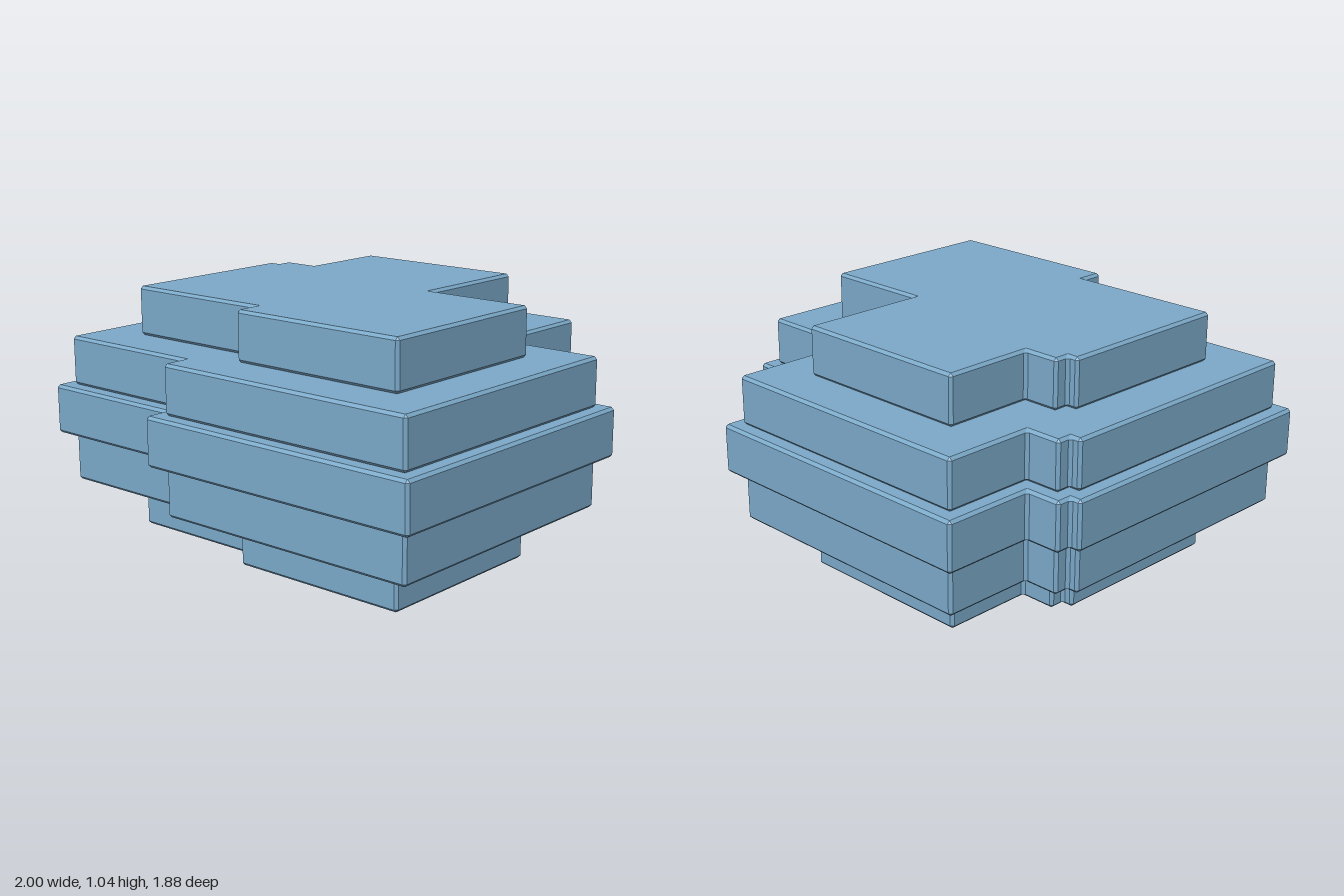
import * as THREE from 'three';

const BEVEL = 0.012;

// Widest tier's outline, counter-clockwise seen from above, as (x, -z)
const OUTLINE = [
  [-1, -0.83], [-0.32, -0.83], [-0.32, -0.94], [1, -0.94], [1, 0.38], [0.515, 0.38],
  [0.515, 0.94], [-0.797, 0.94], [-0.797, 0.547], [-0.952, 0.547], [-0.952, 0.483], [-1, 0.483],
].map(([x, y]) => new THREE.Vector2(x, y));

const at = (points, i) => points[(i + points.length) % points.length];
const direction = (points, i) => at(points, i + 1).clone().sub(at(points, i)).normalize();

// Moves every edge of the outline inwards by the same distance
function inset(points, distance) {
  return points.map((p, i) => {
    const move = direction(points, i - 1).add(direction(points, i));
    return new THREE.Vector2(p.x - move.y * distance, p.y + move.x * distance);
  });
}

// A slab with every edge chamfered, including the upright corners
function chamferedSlab(points, height) {
  const positions = [];
  const triangle = (...corners) => corners.forEach((c) => positions.push(...c));
  const lift = (ring, y) => ring.map((p) => [p.x, y, -p.y]);

  const cap = inset(points, BEVEL);
  const wall = points.flatMap((p, i) => [
    p.clone().addScaledVector(direction(points, i - 1), -BEVEL),
    p.clone().addScaledVector(direction(points, i), BEVEL),
  ]);
  const bottom = lift(cap, 0);
  const low = lift(wall, BEVEL);
  const high = lift(wall, height - BEVEL);
  const top = lift(cap, height);

  points.forEach((_, i) => {
    const next = (i + 1) % points.length;
    const a = 2 * i, b = a + 1, c = 2 * next;
    // Upright corner chamfer and wall
    for (const [s, e] of [[a, b], [b, c]]) {
      triangle(low[s], low[e], high[e]);
      triangle(low[s], high[e], high[s]);
    }
    // Corner facets
    triangle(high[a], high[b], top[i]);
    triangle(low[b], low[a], bottom[i]);
    // Sloping edge strips
    triangle(high[b], high[c], top[next]);
    triangle(high[b], top[next], top[i]);
    triangle(bottom[i], bottom[next], low[c]);
    triangle(bottom[i], low[c], low[b]);
  });

  // Flat top and underside
  for (const [a, b, c] of THREE.ShapeUtils.triangulateShape(cap, [])) {
    triangle(top[a], top[b], top[c]);
    triangle(bottom[a], bottom[c], bottom[b]);
  }

  const geometry = new THREE.BufferGeometry();
  geometry.setAttribute('position', new THREE.Float32BufferAttribute(positions, 3));
  geometry.computeVertexNormals();
  return geometry;
}

export function createModel() {
  const group = new THREE.Group();
  group.name = 'steppedStack';
  const blue = new THREE.MeshStandardMaterial({ color: 0x7ba9c9 });
  blue.name = 'soft blue';

  // Five stacked tiers, widest in the middle
  const height = 0.2086;
  const tiers = [
    ['bottomTier', 0.256], ['lowerTier', 0.054], ['middleTier', 0],
    ['upperTier', 0.054], ['topTier', 0.256],
  ];
  tiers.forEach(([name, shrink], i) => {
    const mesh = new THREE.Mesh(chamferedSlab(inset(OUTLINE, shrink), height), blue);
    mesh.name = name;
    mesh.position.y = i * height;
    group.add(mesh);
  });
  return group;
}
